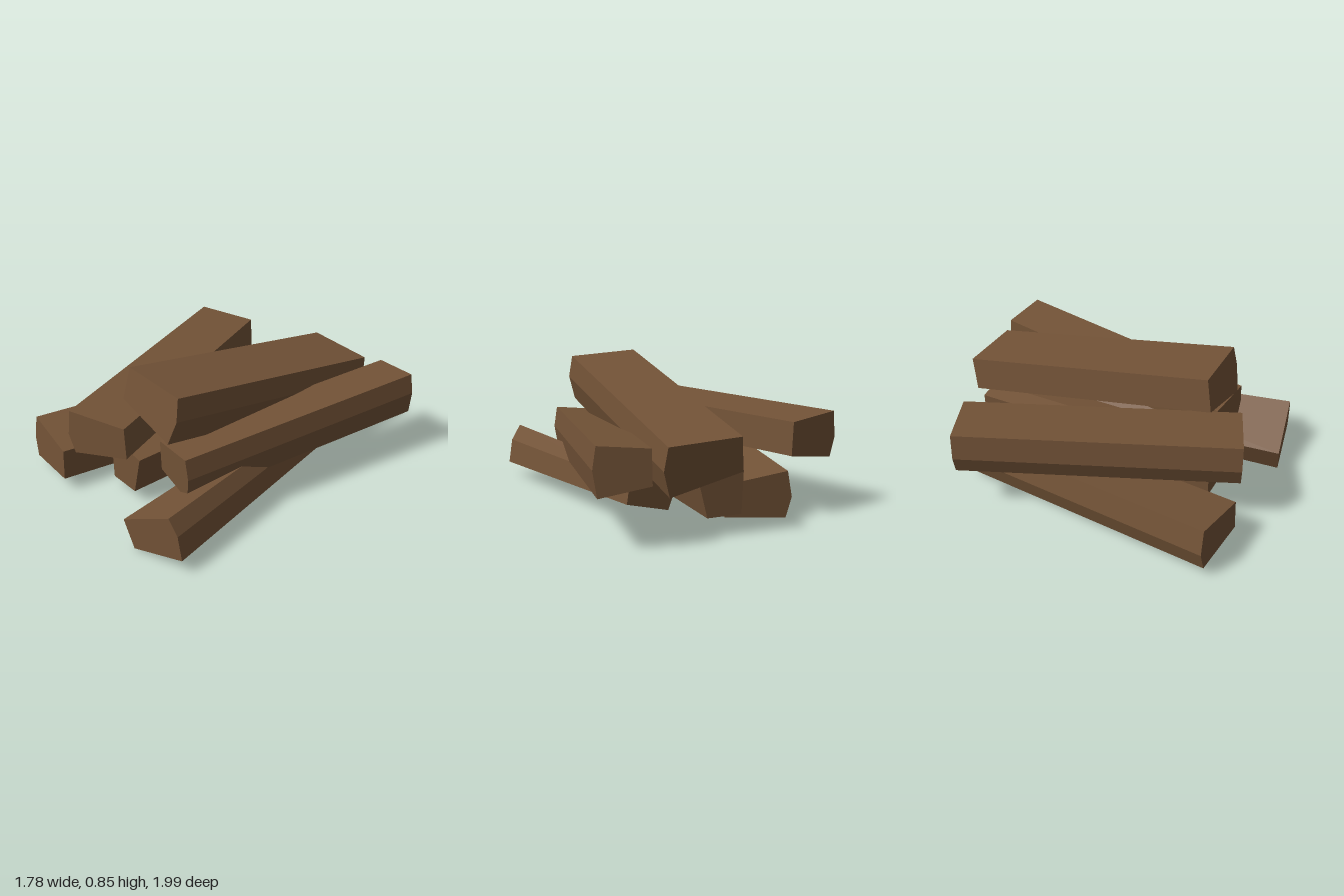
import * as THREE from 'three';

// Each log: front outline (x, y, clockwise from the front), z of its first point,
// axis from front end to back end, and the size of the back end.
const LOGS = [
  { name: 'topLog', z: 0.57, axis: [0.25, -0.3, -1.565], taper: 1,
    outline: [[-0.18, 0.85], [0.24, 0.825], [0.25, 0.69], [0.2, 0.54], [-0.21, 0.65]] },
  { name: 'rightUpperLog', z: 0.6, axis: [0.54, 0.07, -1.54], taper: 1,
    outline: [[0.06, 0.465], [0.33, 0.49], [0.35, 0.365], [0.33, 0.22], [0.06, 0.27]] },
  { name: 'rightLowerLog', z: 0.99, axis: [0.015, 0.03, -1.54], taper: 0.75,
    outline: [[0.125, 0.17], [0.465, 0.335], [0.525, 0.24], [0.55, 0.09], [0.195, 0]] },
  { name: 'middleLowerLog', z: 0.63, axis: [0.29, 0, -1.53], taper: 1,
    outline: [[-0.3, 0.34], [-0.18, 0.357], [-0.03, 0.335], [-0.09, 0.09], [-0.29, 0.095]] },
  { name: 'leftLowerLog', z: 0.717, axis: [0.495, -0.06, -1.56], taper: 1,
    outline: [[-0.86, 0.34], [-0.51, 0.28], [-0.51, 0.09], [-0.86, 0.065], [-0.89, 0.185]] },
  { name: 'leftUpperLog', z: 0.837, axis: [-0.325, -0.013, -1.625], taper: 1,
    outline: [[-0.42, 0.597], [-0.06, 0.575], [-0.05, 0.38], [-0.395, 0.325], [-0.435, 0.44]] },
];

// Straight prism whose ends are square to its axis.
function logGeometry({ outline, z, axis, taper }) {
  const d = new THREE.Vector3(...axis);
  const [x0, y0] = outline[0];
  const front = outline.map(([x, y]) =>
    new THREE.Vector3(x, y, z - (d.x * (x - x0) + d.y * (y - y0)) / d.z));
  const n = front.length;
  const centre = front.reduce((sum, p) => sum.add(p), new THREE.Vector3()).divideScalar(n);
  const back = front.map((p) => p.clone().sub(centre).multiplyScalar(taper).add(centre).add(d));

  const corners = [];
  for (let i = 0; i < n; i++) {
    const j = (i + 1) % n;
    corners.push(front[i], front[j], back[j], front[i], back[j], back[i]); // side
    if (i > 0 && j > 0) {
      corners.push(front[0], front[j], front[i]); // front end
      corners.push(back[0], back[i], back[j]); // back end
    }
  }
  const geometry = new THREE.BufferGeometry().setFromPoints(corners);
  geometry.computeVertexNormals();
  return geometry;
}

export function createModel() {
  const group = new THREE.Group();
  group.name = 'logPile';
  const wood = new THREE.MeshStandardMaterial({ color: 0x735337 });
  wood.name = 'brownWood';
  for (const log of LOGS) {
    const mesh = new THREE.Mesh(logGeometry(log), wood);
    mesh.name = log.name;
    group.add(mesh);
  }
  return group;
}
